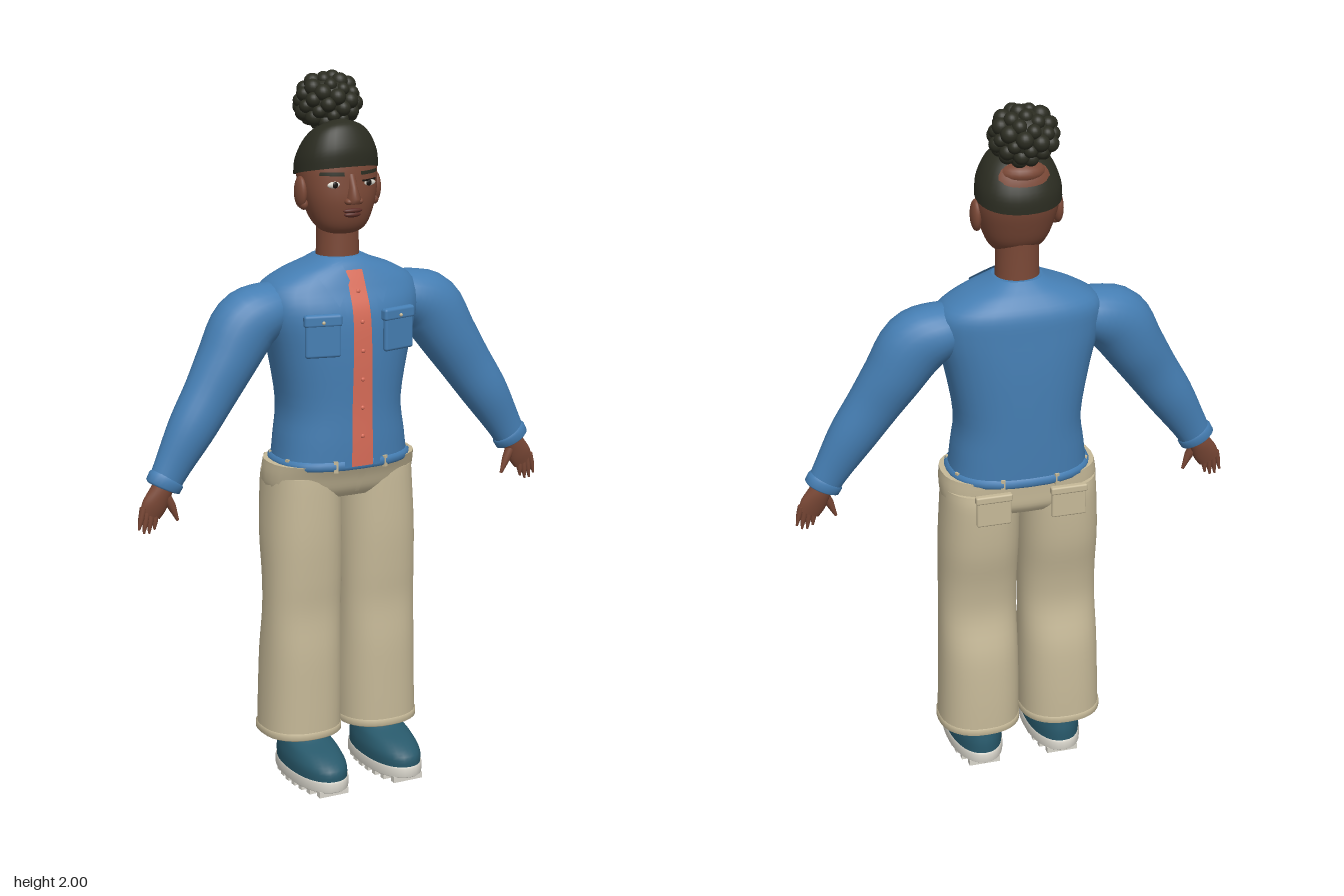
import * as THREE from 'three';
import { RoundedBoxGeometry } from 'three/addons/geometries/RoundedBoxGeometry.js';

const mat = (name, color, side = THREE.FrontSide) => {
  const m = new THREE.MeshStandardMaterial({ color, side });
  m.name = name;
  return m;
};

// Catmull-Rom subdivision of rows of numbers
function smooth(rows, n = 4) {
  const out = [], at = (i) => rows[Math.min(rows.length - 1, Math.max(0, i))];
  for (let i = 0; i < rows.length - 1; i++) {
    for (let k = 0; k < n; k++) {
      const t = k / n;
      out.push(rows[i].map((b, j) => {
        const a = at(i - 1)[j], c = at(i + 1)[j], d = at(i + 2)[j];
        return 0.5 * (2 * b + (c - a) * t + (2 * a - 5 * b + 4 * c - d) * t * t + (3 * b - a - 3 * c + d) * t ** 3);
      }));
    }
  }
  out.push(rows[rows.length - 1]);
  return out;
}

// Closed skin through superellipse rings { c, u, v }
function loft(rings, p = 2, seg = 32) {
  const pos = [], idx = [];
  const bend = (a) => Math.sign(a) * Math.abs(a) ** (2 / p);
  const addRing = ({ c, u, v }) => {
    for (let j = 0; j < seg; j++) {
      const a = (j / seg) * Math.PI * 2, x = bend(Math.cos(a)), y = bend(Math.sin(a));
      for (let k = 0; k < 3; k++) pos.push(c[k] + u[k] * x + v[k] * y);
    }
  };
  rings.forEach(addRing);
  for (let i = 0; i < rings.length - 1; i++) {
    for (let j = 0; j < seg; j++) {
      const a = i * seg + j, b = i * seg + ((j + 1) % seg);
      idx.push(a, a + seg, b, b, a + seg, b + seg);
    }
  }
  [rings[0], rings[rings.length - 1]].forEach((r, end) => {
    const base = pos.length / 3;
    addRing(r);
    pos.push(...r.c);
    for (let j = 0; j < seg; j++) {
      const a = base + j, b = base + ((j + 1) % seg);
      idx.push(base + seg, end ? b : a, end ? a : b);
    }
  });
  const g = new THREE.BufferGeometry();
  g.setAttribute('position', new THREE.Float32BufferAttribute(pos, 3));
  g.setIndex(idx);
  g.computeVertexNormals();
  return g;
}

// Upright body from rows [y, centreX, centreZ, halfWidth, halfDepth]
const body = (rows, p = 2, s = 1) =>
  loft(rows.map(([y, x, z, w, d]) => ({ c: [x * s, y, z], u: [w, 0, 0], v: [0, 0, d] })), p);

// Limb along points [x, y, z, halfWidth, halfDepth]
function limb(rows, s, seg = 24) {
  return loft(rows.map(([x, y, z, w, d], i) => {
    const a = rows[Math.max(0, i - 1)], b = rows[Math.min(rows.length - 1, i + 1)];
    const dx = (b[0] - a[0]) * s, dy = b[1] - a[1], l = Math.hypot(dx, dy);
    return { c: [x * s, y, z], u: [(dy / l) * w, (-dx / l) * w, 0], v: [0, 0, d] };
  }), 2, seg);
}

// Front surface z of an upright body
const frontOf = (rows, p) => (x, y) => {
  let i = 0;
  while (i < rows.length - 2 && rows[i + 1][0] < y) i++;
  const a = rows[i], b = rows[i + 1], t = Math.min(1, Math.max(0, (y - a[0]) / (b[0] - a[0])));
  const [, , z, w, d] = a.map((n, k) => n + (b[k] - n) * t);
  return z + d * Math.max(0, 1 - Math.abs(x / w) ** p) ** (1 / p);
};

// Thin patch laid on a surface; corners: top left, top right, bottom left, bottom right
function drape(surface, [a, b, c, d], off, nx = 6, ny = 12) {
  const g = new THREE.PlaneGeometry(1, 1, nx, ny), q = g.attributes.position;
  for (let i = 0; i < q.count; i++) {
    const u = q.getX(i) + 0.5, v = 0.5 - q.getY(i);
    const [x, y] = [0, 1].map((k) => (a[k] * (1 - u) + b[k] * u) * (1 - v) + (c[k] * (1 - u) + d[k] * u) * v);
    q.setXYZ(i, x, y, surface(x, y) + off);
  }
  g.computeVertexNormals();
  return g;
}

export function createModel() {
  const root = new THREE.Group();
  root.name = 'person';
  const two = THREE.DoubleSide;
  const skin = mat('skin', 0x7a4836), hair = mat('hair', 0x2b2c21, two), blue = mat('jacket blue', 0x457eb3, two);
  const coral = mat('shirt coral', 0xd86c58, two), beige = mat('trouser beige', 0xc6b998, two), teal = mat('shoe teal', 0x28596b);
  const white = mat('sole white', 0xd9d6cc), lip = mat('lip', 0x5c2e27), dark = mat('eye dark', 0x17120f);
  const add = (name, geo, m, x = 0, y = 0, z = 0) => {
    const mesh = new THREE.Mesh(geo, m);
    mesh.name = name;
    mesh.position.set(x, y, z);
    root.add(mesh);
    return mesh;
  };
  const ball = (name, m, x, y, z, rx, ry, rz) =>
    add(name, new THREE.SphereGeometry(1, 20, 14), m, x, y, z).scale.set(rx, ry, rz);

  // Jacket torso, hem and neckband
  const torso = smooth([[0.93, 0, -0.035, 0.195, 0.14], [1.0, 0, -0.036, 0.186, 0.142], [1.1, 0, -0.038, 0.176, 0.143],
    [1.25, 0, -0.037, 0.203, 0.145], [1.36, 0, -0.038, 0.232, 0.139], [1.425, 0, -0.048, 0.225, 0.123],
    [1.465, 0, -0.045, 0.165, 0.102], [1.49, 0, -0.04, 0.1, 0.083], [1.505, 0, -0.04, 0.068, 0.066]]);
  const chest = frontOf(torso, 2.4);
  add('jacketTorso', body(torso, 2.4), blue);
  add('jacketHem', body([[0.925, 0, -0.035, 0.198, 0.142], [0.932, 0, -0.035, 0.202, 0.147],
    [0.944, 0, -0.035, 0.202, 0.147], [0.95, 0, -0.035, 0.193, 0.141]], 2.4), blue);
  add('shirtFront', drape(chest, [[-0.025, 1.475], [0.025, 1.475], [-0.033, 0.935], [0.033, 0.935]], 0.007, 6, 40), coral);
  for (let i = 0; i < 6; i++) ball('shirtButton', coral, 0, 1.02 + i * 0.08, chest(0, 1.02 + i * 0.08) + 0.007, 0.006, 0.006, 0.004);

  // Neck and head
  add('neck', body([[1.46, 0, -0.04, 0.064, 0.06], [1.52, 0, -0.04, 0.06, 0.056], [1.62, 0, -0.042, 0.059, 0.055]]), skin);
  const head = smooth([[1.565, 0, -0.02, 0.035, 0.03], [1.58, 0, -0.02, 0.064, 0.051], [1.61, 0, -0.027, 0.085, 0.073],
    [1.66, 0, -0.033, 0.102, 0.088], [1.71, 0, -0.042, 0.111, 0.094], [1.76, 0, -0.047, 0.109, 0.092],
    [1.81, 0, -0.048, 0.09, 0.076], [1.845, 0, -0.045, 0.055, 0.045], [1.86, 0, -0.045, 0.01, 0.01]]);
  const face = frontOf(head, 2.2);
  add('head', body(head, 2.2), skin);
  add('noseBridge', body([[1.655, 0, 0.05, 0.021, 0.022], [1.67, 0, 0.054, 0.019, 0.028], [1.7, 0, 0.048, 0.012, 0.019],
    [1.735, 0, 0.04, 0.012, 0.01]]), skin);
  ball('upperLip', lip, 0, 1.636, face(0, 1.636), 0.029, 0.007, 0.009);
  ball('lowerLip', lip, 0, 1.625, face(0, 1.625), 0.025, 0.008, 0.01);

  // Hair cap, tilted down towards the back, with the bare crown under the bun
  const cap = body(smooth([[1.733, 0, -0.05, 0.117, 0.099], [1.775, 0, -0.049, 0.113, 0.097], [1.82, 0, -0.045, 0.094, 0.078],
    [1.85, 0, -0.04, 0.065, 0.055], [1.868, 0, -0.035, 0.02, 0.02]]), 2.2);
  const q = cap.attributes.position;
  for (let i = 0; i < q.count; i++) q.setY(i, q.getY(i) + 0.22 * (q.getZ(i) + 0.05));
  cap.computeVertexNormals();
  add('hairCap', cap, hair);
  ball('bareCrown', skin, 0, 1.81, -0.082, 0.066, 0.032, 0.051);

  // Curly bun: small balls spread over a core
  ball('bunCore', hair, 0, 1.915, -0.1, 0.08, 0.07, 0.075);
  const curls = 54;
  for (let i = 0; i < curls; i++) {
    const h = 1 - (2 * (i + 0.5)) / curls, r = Math.sqrt(1 - h * h), a = i * 2.39996, k = 0.021 + 0.003 * Math.sin(i * 5);
    ball('bunCurl', hair, Math.cos(a) * r * 0.077, 1.915 + h * 0.064, -0.1 + Math.sin(a) * r * 0.071, k, k, k);
  }

  // Hips and fly
  const hips = smooth([[0.835, 0, -0.05, 0.19, 0.1], [0.86, 0, -0.049, 0.217, 0.116], [0.9, 0, -0.043, 0.222, 0.125],
    [0.937, 0, -0.035, 0.218, 0.135]]);
  add('trouserHips', body(hips, 2.5), beige);
  add('fly', drape(frontOf(hips, 2.5), [[0, 0.93], [0.025, 0.93], [0, 0.85], [0.012, 0.85]], 0.005), beige);
  for (let i = 0; i < 8; i++) {
    const a = ((i + 0.5) / 8) * Math.PI * 2;
    add('beltLoop', new THREE.BoxGeometry(0.012, 0.032, 0.008), beige,
      Math.sin(a) * 0.2, 0.937, -0.035 + Math.cos(a) * 0.147).rotation.y = a;
  }

  for (const s of [1, -1]) {
    const side = s > 0 ? 'left' : 'right';
    // Sleeve and cuff
    add(side + 'Sleeve', limb(smooth([[0.15, 1.375, -0.045, 0.06, 0.07], [0.215, 1.365, -0.042, 0.078, 0.085],
      [0.285, 1.33, -0.036, 0.094, 0.085], [0.345, 1.24, -0.028, 0.084, 0.078], [0.4, 1.155, -0.018, 0.075, 0.065],
      [0.46, 1.065, -0.01, 0.067, 0.058], [0.515, 0.975, -0.006, 0.053, 0.042], [0.545, 0.922, -0.004, 0.046, 0.036]]), s), blue);
    add(side + 'Cuff', limb([[0.533, 0.943, -0.004, 0.048, 0.038], [0.537, 0.937, -0.004, 0.053, 0.041],
      [0.547, 0.919, -0.004, 0.052, 0.04], [0.549, 0.915, -0.004, 0.044, 0.034]], s), blue);
    // Hand
    add(side + 'Palm', limb(smooth([[0.54, 0.93, -0.004, 0.029, 0.026], [0.556, 0.9, -0.004, 0.032, 0.025],
      [0.574, 0.868, -0.003, 0.036, 0.019], [0.587, 0.843, -0.003, 0.031, 0.012]]), s), skin);
    [[0.607, 0.866, 0.621, 0.806], [0.597, 0.856, 0.607, 0.794], [0.585, 0.85, 0.592, 0.793], [0.572, 0.85, 0.576, 0.802]]
      .forEach(([x0, y0, x1, y1]) => add(side + 'Finger', limb([[x0, y0, -0.002, 0.009, 0.011],
        [(x0 + x1) / 2, (y0 + y1) / 2, 0, 0.008, 0.009], [x1, y1, 0, 0.003, 0.003]], s, 12), skin));
    add(side + 'Thumb', limb([[0.545, 0.9, 0, 0.014, 0.016], [0.526, 0.862, 0.004, 0.012, 0.012],
      [0.509, 0.82, 0.004, 0.004, 0.004]], s, 12), skin);

    // Jacket opening edge, collar flap and chest pocket
    add(side + 'Placket', drape(chest, [[s * 0.028, 1.45], [s * 0.05, 1.45], [s * 0.034, 0.935], [s * 0.055, 0.935]], 0.01, 4, 40), blue);
    add(side + 'Collar', drape(chest, [[s * 0.035, 1.497], [s * 0.11, 1.465], [s * 0.022, 1.45], [s * 0.066, 1.385]], 0.014, 8, 10), blue);
    add(side + 'Lapel', drape(chest, [[s * 0.025, 1.5], [s * 0.06, 1.49], [s * 0.095, 1.43], [s * 0.062, 1.395]], 0.01, 8, 10), blue);
    add(side + 'ChestPocket', new RoundedBoxGeometry(0.1, 0.12, 0.018, 3, 0.008), blue, s * 0.115, 1.31, 0.1).rotation.y = s * 0.22;
    add(side + 'PocketFlap', new RoundedBoxGeometry(0.106, 0.034, 0.024, 3, 0.008), blue, s * 0.115, 1.352, 0.099).rotation.y = s * 0.22;
    ball(side + 'PocketButton', beige, s * 0.118, 1.348, 0.112, 0.005, 0.005, 0.004);

    // Ear, eye and brow
    ball(side + 'Ear', skin, s * 0.113, 1.682, -0.038, 0.015, 0.044, 0.028);
    ball(side + 'EarLobe', skin, s * 0.108, 1.65, -0.03, 0.012, 0.016, 0.015);
    const ez = face(0.052, 1.708);
    ball(side + 'EyeWhite', white, s * 0.052, 1.708, ez, 0.021, 0.009, 0.006);
    ball(side + 'Iris', dark, s * 0.051, 1.708, ez + 0.004, 0.0085, 0.0085, 0.004);
    add(side + 'Lid', drape(face, [[s * 0.026, 1.718], [s * 0.08, 1.719], [s * 0.028, 1.713], [s * 0.078, 1.713]], 0.006), dark);
    add(side + 'Brow', drape(face, [[s * 0.025, 1.741], [s * 0.085, 1.742], [s * 0.025, 1.731], [s * 0.088, 1.733]], 0.005), hair);
    ball(side + 'Nostril', skin, s * 0.016, 1.662, 0.058, 0.011, 0.009, 0.013);

    // Trouser leg, hem and back pocket
    add(side + 'Leg', body(smooth([[0.135, 0.121, -0.05, 0.116, 0.115], [0.25, 0.119, -0.049, 0.115, 0.115],
      [0.38, 0.118, -0.045, 0.113, 0.111], [0.5, 0.117, -0.036, 0.111, 0.096], [0.6, 0.116, -0.036, 0.111, 0.102],
      [0.72, 0.115, -0.045, 0.112, 0.116], [0.85, 0.112, -0.05, 0.109, 0.119], [0.9, 0.11, -0.048, 0.108, 0.115]]), 2.3, s), beige);
    add(side + 'LegHem', body([[0.13, 0.121, -0.05, 0.114, 0.113], [0.134, 0.121, -0.05, 0.119, 0.118],
      [0.15, 0.121, -0.05, 0.119, 0.118], [0.154, 0.121, -0.05, 0.114, 0.113]], 2.3, s), beige);
    add(side + 'BackPocket', new RoundedBoxGeometry(0.098, 0.09, 0.014, 2, 0.005), beige, s * 0.107, 0.872, -0.184);
    add(side + 'BackPocketFlap', new RoundedBoxGeometry(0.104, 0.022, 0.02, 2, 0.005), beige, s * 0.107, 0.908, -0.184);

    // Shoe, sole and treads
    add(side + 'Shoe', body(smooth([[0.04, 0.118, 0.027, 0.075, 0.158], [0.075, 0.118, 0.025, 0.075, 0.156],
      [0.105, 0.118, 0.004, 0.068, 0.13], [0.128, 0.118, -0.03, 0.06, 0.092], [0.16, 0.118, -0.05, 0.054, 0.07]]), 2.2, s), teal);
    add(side + 'Sole', body([[0.014, 0.118, 0.027, 0.074, 0.158], [0.018, 0.118, 0.027, 0.078, 0.163],
      [0.042, 0.118, 0.027, 0.078, 0.163], [0.047, 0.118, 0.027, 0.074, 0.158]], 2.2, s), white);
    for (let i = 0; i < 8; i++) {
      const z = -0.105 + i * 0.038, w = 0.14 * Math.sqrt(1 - ((z - 0.027) / 0.175) ** 2);
      add(side + 'Tread', new THREE.BoxGeometry(w, 0.018, 0.02), white, s * 0.118, 0.009, z);
    }
  }
  return root;
}
